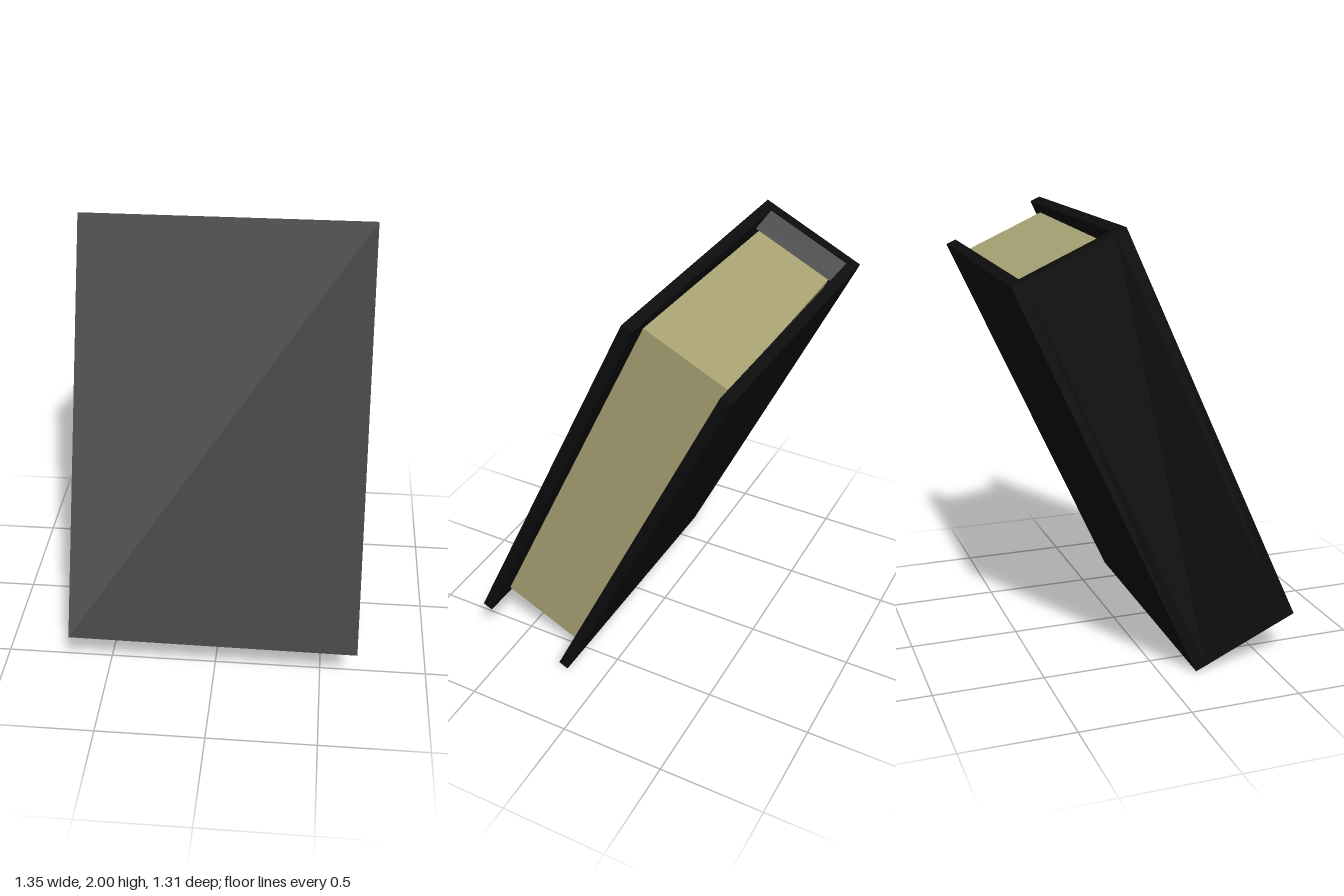
import * as THREE from 'three';

const W = 1.34, H = 1.953, T = 0.52; // closed book: width, height, thickness
const BOARD = 0.05, SPINE = 0.06;

// Extrude an outline of [x, y] points, centred through the book's thickness
function slab(points, depth, material, name) {
  const shape = new THREE.Shape(points.map(([x, y]) => new THREE.Vector2(x, y)));
  const geometry = new THREE.ExtrudeGeometry(shape, { depth, bevelEnabled: false });
  geometry.translate(0, 0, -depth / 2);
  const mesh = new THREE.Mesh(geometry, material);
  mesh.name = name;
  return mesh;
}

export function createModel() {
  const cover = new THREE.MeshStandardMaterial({ color: 0x0c0c0c, flatShading: true });
  const paper = new THREE.MeshStandardMaterial({ color: 0xa8a273, flatShading: true });
  const book = new THREE.Group();
  book.name = 'book';

  // Front and back boards
  for (const side of [1, -1]) {
    const board = new THREE.Mesh(new THREE.BoxGeometry(W, H, BOARD), cover);
    board.name = side > 0 ? 'frontCover' : 'backCover';
    board.position.z = side * (T - BOARD) / 2;
    book.add(board);
  }

  // Spine between the boards
  const inside = T - 2 * BOARD;
  const spine = new THREE.Mesh(new THREE.BoxGeometry(SPINE, H, inside), cover);
  spine.name = 'spine';
  spine.position.x = -(W - SPINE) / 2;
  book.add(spine);

  // Wedge lining the spine, widest near the top
  const left = -W / 2 + SPINE, top = H / 2, bottom = -H / 2;
  const pageTop = [-0.5, top - 0.055], pageFoot = [left, bottom + 0.04];
  book.add(slab([pageFoot, pageTop, [left, top]], inside, cover, 'spineLining'));

  // Page block, slightly skewed and a little thinner towards the spine
  const pages = slab([pageFoot, [0.55, bottom + 0.072], [0.55, top - 0.047], pageTop],
    inside - 0.005, paper, 'pages');
  const p = pages.geometry.attributes.position;
  for (let i = 0; i < p.count; i++) if (p.getX(i) < 0) p.setZ(i, p.getZ(i) * 0.93);
  pages.geometry.computeVertexNormals();
  book.add(pages);

  // Lean the book back with a slight twist
  book.rotation.set(-0.4294, -0.0165, 0);
  book.position.y = 1;

  const model = new THREE.Group();
  model.name = 'leaningBook';
  model.add(book);
  return model;
}
